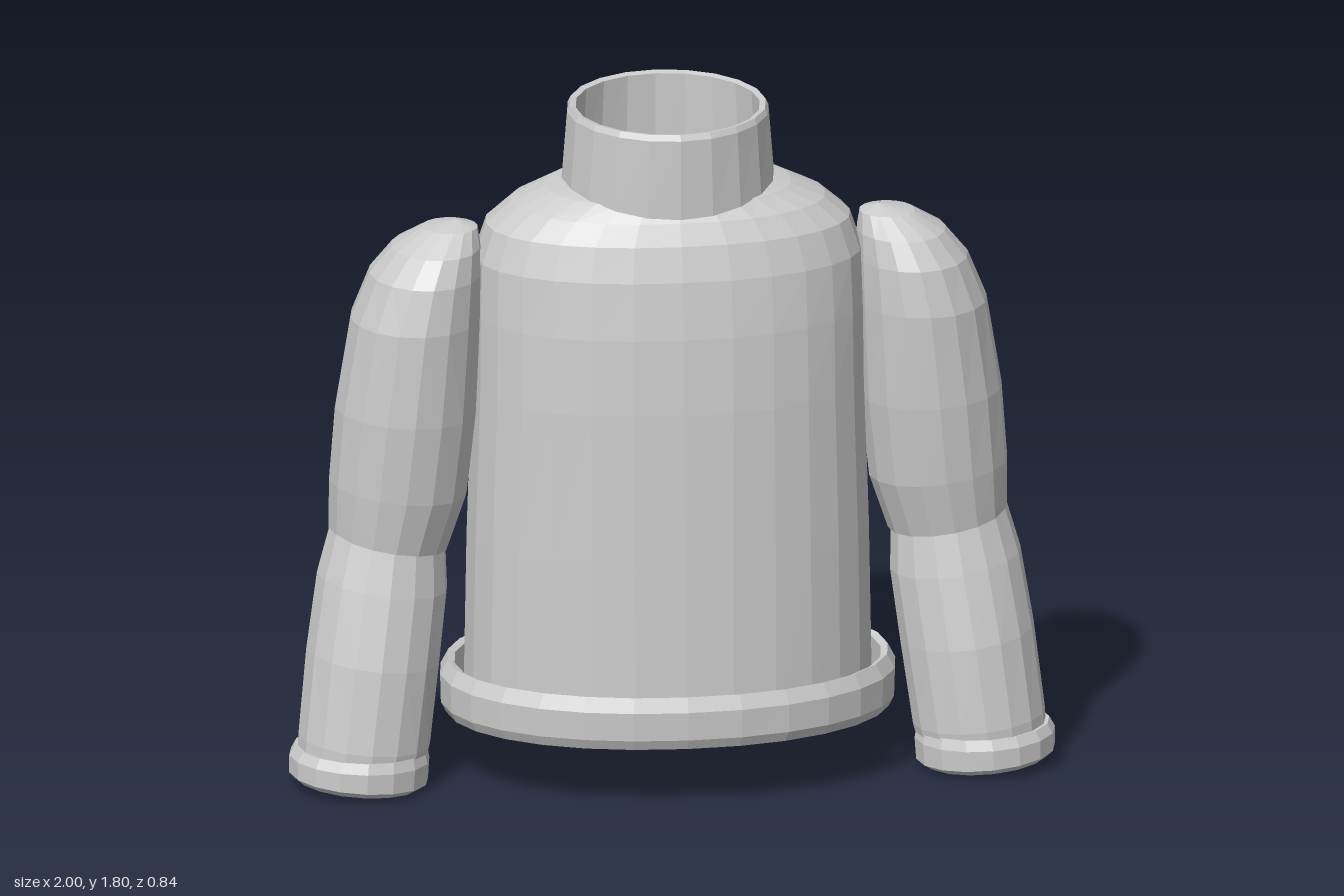
import * as THREE from 'three';

const wool = new THREE.MeshStandardMaterial({ color: 0xcccccc, flatShading: true, side: THREE.DoubleSide });
wool.name = 'light grey wool';

// Lofts rounded cross-sections { x, y, z, rx, rz, tilt, power, dip }.
// tilt raises the +x side, dip lowers the front and back of the loop.
function loft(name, sections, { sides = 20, closed = false, mirror = 1 } = {}) {
  const positions = [], indices = [];
  for (const { x = 0, y, z = 0, rx, rz, tilt = 0, lean = 0, power = 2, dip = 0 } of sections) {
    for (let i = 0; i < sides; i++) {
      const a = (i / sides) * Math.PI * 2, c = Math.cos(a), s = Math.sin(a);
      const dx = rx * Math.sign(c) * Math.abs(c) ** (2 / power);
      const dz = rz * Math.sign(s) * Math.abs(s) ** (2 / power);
      positions.push(mirror * (x + dx), y + tilt * dx + lean * dz - dip * s * s, z + dz);
    }
  }
  const n = sections.length;
  for (let j = 0; j < (closed ? n : n - 1); j++) {
    for (let i = 0; i < sides; i++) {
      const a = j * sides + i, b = j * sides + (i + 1) % sides;
      const k = ((j + 1) % n) * sides;
      const c = k + i, d = k + (i + 1) % sides;
      if (mirror > 0) indices.push(a, c, b, b, c, d);
      else indices.push(a, b, c, b, d, c);
    }
  }
  const geometry = new THREE.BufferGeometry();
  geometry.setAttribute('position', new THREE.Float32BufferAttribute(positions, 3));
  geometry.setIndex(indices);
  geometry.computeVertexNormals();
  const mesh = new THREE.Mesh(geometry, wool);
  mesh.name = name;
  return mesh;
}

// Short form for sleeve loops
const loop = (x, y, z, rx, rz, tilt = 0) => ({ x, y, z, rx, rz, tilt });

function createSleeve(name, mirror) {
  const sleeve = new THREE.Group();
  sleeve.name = name;
  // Upper sleeve with a domed shoulder
  sleeve.add(loft('upperSleeve', [
    loop(0.73, 0.65, 0, 0.155, 0.165, 0.18),
    loop(0.705, 0.79, 0.006, 0.18, 0.182, 0.12),
    loop(0.685, 1.0, 0.01, 0.185, 0.197, 0.05),
    loop(0.66, 1.25, 0.014, 0.17, 0.2),
    loop(0.635, 1.37, 0.014, 0.146, 0.182),
    loop(0.607, 1.44, 0.014, 0.116, 0.145),
    loop(0.57, 1.49, 0.014, 0.072, 0.075),
    loop(0.55, 1.507, 0.014, 0.001, 0.001),
  ], { sides: 16, mirror }));
  // Lower sleeve swings forward and outward
  sleeve.add(loft('lowerSleeve', [
    loop(0.812, 0.06, 0.085, 0.165, 0.155, 0.1),
    loop(0.802, 0.13, 0.078, 0.172, 0.166, 0.1),
    loop(0.775, 0.35, 0.045, 0.174, 0.18, 0.12),
    loop(0.748, 0.54, 0.018, 0.17, 0.17, 0.15),
    loop(0.73, 0.68, 0.003, 0.148, 0.152, 0.15),
  ], { sides: 16, mirror }));
  // Turned cuff
  sleeve.add(loft('cuff', [
    loop(0.82, 0.018, 0.09, 0.16, 0.155, 0.08),
    loop(0.818, 0.033, 0.088, 0.181, 0.174, 0.08),
    loop(0.816, 0.085, 0.086, 0.183, 0.177, 0.05),
    loop(0.812, 0.112, 0.084, 0.173, 0.167, 0.04),
    loop(0.812, 0.108, 0.084, 0.152, 0.148, 0.05),
    loop(0.82, 0.026, 0.09, 0.148, 0.143, 0.08),
  ], { sides: 16, closed: true, mirror }));
  return sleeve;
}

export function createModel() {
  const model = new THREE.Group();
  model.name = 'turtleneckSweater';

  // Body, open at the hem and neck
  model.add(loft('body', [
    { y: 0.2, rx: 0.533, rz: 0.36, power: 2.1 },
    { y: 0.65, rx: 0.525, rz: 0.347, power: 2.15 },
    { y: 1.05, rx: 0.512, rz: 0.335, power: 2.2 },
    { y: 1.25, rx: 0.51, rz: 0.322, power: 2.2 },
    { y: 1.4, rx: 0.505, rz: 0.302, power: 2.2 },
    { y: 1.49, rx: 0.475, rz: 0.277, power: 2.2 },
    { y: 1.545, rx: 0.41, rz: 0.25, power: 2.2 },
    { y: 1.585, rx: 0.32, rz: 0.222, power: 2.2 },
    { y: 1.6, rx: 0.235, rz: 0.185, power: 2.5 },
  ], { sides: 28 }));

  // Hem band standing clear of the body
  model.add(loft('hem', [
    { y: 0.168, rx: 0.578, rz: 0.402 },
    { y: 0.195, rx: 0.592, rz: 0.415 },
    { y: 0.27, rx: 0.594, rz: 0.418 },
    { y: 0.308, rx: 0.574, rz: 0.402 },
    { y: 0.3, rx: 0.556, rz: 0.384 },
    { y: 0.175, rx: 0.56, rz: 0.387 },
  ].map(s => ({ ...s, power: 2.1 })), { sides: 28, closed: true }));

  // Tall collar, slightly higher at the back
  model.add(loft('collar', [
    { y: 1.605, rx: 0.277, rz: 0.268, dip: 0.035 },
    { y: 1.782, rx: 0.263, rz: 0.266 },
    { y: 1.797, rx: 0.256, rz: 0.258 },
    { y: 1.793, rx: 0.24, rz: 0.24 },
    { y: 1.607, rx: 0.252, rz: 0.243, dip: 0.035 },
  ].map(s => ({ ...s, lean: -0.035 })), { sides: 20, closed: true }));

  model.add(createSleeve('leftSleeve', 1), createSleeve('rightSleeve', -1));
  return model;
}
